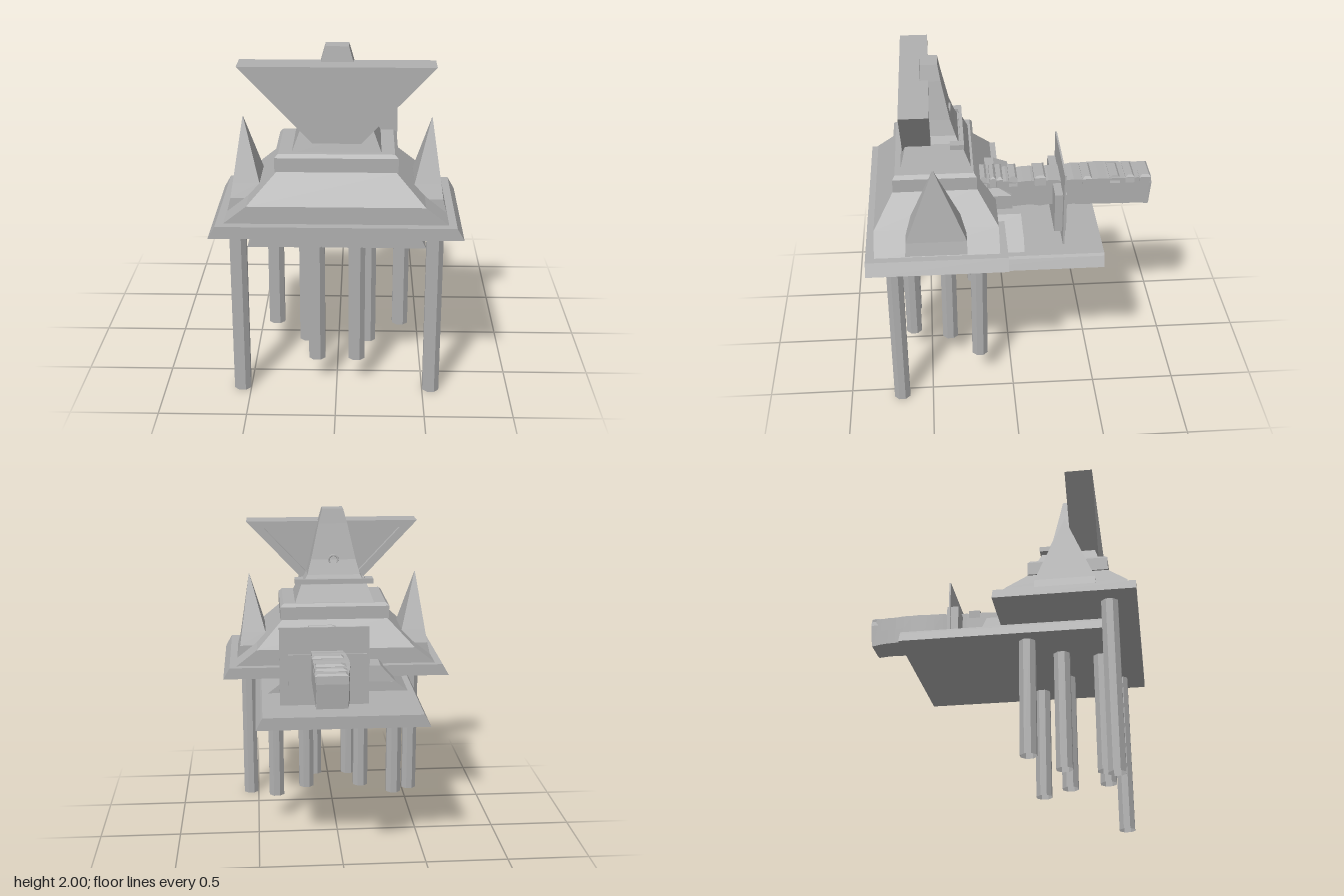
import * as THREE from 'three';

const gray = new THREE.MeshStandardMaterial({ color: 0xb0b0b0 });
gray.name = 'stone gray';
gray.flatShading = true;
gray.side = THREE.DoubleSide;

// Stacked rectangles [y, x0, x1, z0, z1] joined into a closed solid
function stack(rings) {
  const pos = [], idx = [], top = (rings.length - 1) * 4;
  for (const [y, x0, x1, z0, z1] of rings) pos.push(x0, y, z1, x1, y, z1, x1, y, z0, x0, y, z0);
  for (let r = 0; r < top; r += 4) {
    for (let i = 0; i < 4; i++) {
      const a = r + i, b = r + (i + 1) % 4;
      idx.push(a, b, b + 4, a, b + 4, a + 4);
    }
  }
  idx.push(0, 2, 1, 0, 3, 2, top, top + 1, top + 2, top, top + 2, top + 3);
  const g = new THREE.BufferGeometry();
  g.setAttribute('position', new THREE.Float32BufferAttribute(pos, 3));
  g.setIndex(idx);
  const flat = g.toNonIndexed();
  flat.computeVertexNormals();
  return flat;
}

export function createModel() {
  const model = new THREE.Group();
  model.name = 'watchtower';
  const add = (name, geometry, x = 0, y = 0, z = 0) => {
    const m = new THREE.Mesh(geometry, gray);
    m.name = name;
    m.position.set(x, y, z);
    model.add(m);
    return m;
  };
  // Box given by its limits
  const box = (name, x0, x1, y0, y1, z0, z1) => add(name,
    new THREE.BoxGeometry(x1 - x0, y1 - y0, z1 - z0), (x0 + x1) / 2, (y0 + y1) / 2, (z0 + z1) / 2);
  // Symmetric stack: rings are [y, half width, z0, z1]
  const tier = (name, rings) => add(name, stack(rings.map(([y, w, a, b]) => [y, -w, w, a, b])));

  // Main deck and sloped roof
  tier('mainDeck', [[1.01, 0.70, 0.04, 0.845], [1.08, 0.66, 0.04, 0.845]]);
  tier('mainRoof', [[1.07, 0.63, 0.085, 0.795], [1.18, 0.49, 0.085, 0.795], [1.34, 0.33, 0.20, 0.68]]);
  tier('roofSlab', [[1.34, 0.34, 0.20, 0.68], [1.42, 0.34, 0.20, 0.68], [1.44, 0.32, 0.215, 0.665]]);
  tier('pedestal', [[1.43, 0.25, 0.225, 0.635], [1.56, 0.20, 0.28, 0.60]]);

  // Central tower with a round socket at the back
  tier('tower', [[1.54, 0.20, 0.285, 0.53], [1.6, 0.165, 0.31, 0.53], [1.69, 0.14, 0.34, 0.52],
    [1.91, 0.09, 0.385, 0.505], [2.0, 0.065, 0.40, 0.495]]);
  add('socketRing', new THREE.TorusGeometry(0.028, 0.006, 6, 14), 0, 1.69, 0.338);

  // Bracket behind the tower
  box('bracketBar', -0.245, 0.245, 1.55, 1.58, 0.265, 0.285);
  for (const s of [-1, 1]) {
    const c = s * 0.22;
    box('bracketEnd', c - 0.025, c + 0.025, 1.55, 1.58, 0.28, 0.345);
  }
  tier('bracketBase', [[1.44, 0.10, 0.25, 0.30], [1.55, 0.21, 0.275, 0.32]]);

  // Flared front panel with a rim at its back
  const flare = (w1, y1, w0, y0, path) => {
    path.moveTo(-w0, y0);
    path.lineTo(w0, y0);
    path.lineTo(w1, y1);
    path.lineTo(-w1, y1);
    path.closePath();
    return path;
  };
  const outline = () => flare(0.54, 1.915, 0.10, 1.45, new THREE.Shape());
  add('flarePanel', new THREE.ExtrudeGeometry(outline(), { depth: 0.13, bevelEnabled: false }), 0, 0, 0.49);
  const rim = outline();
  rim.holes.push(flare(0.43, 1.87, 0.09, 1.51, new THREE.Path()));
  add('flareRim', new THREE.ExtrudeGeometry(rim, { depth: 0.035, bevelEnabled: false }), 0, 0, 0.455);

  // Corner spikes
  for (const s of [-1, 1]) {
    const r = (y, a, b, z0, z1) => [y, Math.min(s * a, s * b), Math.max(s * a, s * b), z0, z1];
    add('spike', stack([r(1.08, 0.42, 0.615, 0.27, 0.62), r(1.16, 0.42, 0.595, 0.27, 0.615),
      r(1.24, 0.434, 0.583, 0.302, 0.583), r(1.585, 0.528, 0.532, 0.445, 0.45)]));
  }

  // Lower deck and the mound rising from it
  tier('lowerDeck', [[0.875, 0.505, -0.535, 0.645], [0.935, 0.475, -0.535, 0.645], [0.95, 0.465, -0.535, 0.645]]);
  tier('mound', [[0.94, 0.44, -0.07, 0.64], [1.01, 0.35, -0.07, 0.64]]);
  tier('moundUpper', [[1.0, 0.36, -0.07, 0.3], [1.11, 0.26, -0.06, 0.3]]);
  tier('gunHousing', [[1.1, 0.20, -0.015, 0.3], [1.2, 0.20, -0.01, 0.3], [1.25, 0.17, 0.08, 0.3]]);

  // Long rough barrel, slightly bulged on one side and narrowing at the tip
  const barrel = new THREE.BoxGeometry(0.175, 0.17, 1.0, 1, 2, 20);
  const p = barrel.attributes.position;
  for (let i = 0; i < p.count; i++) {
    const z = p.getZ(i) - 0.33;
    const wave = 0.004 * Math.sin(z * 47) + 0.003 * Math.sin(z * 83);
    let x = p.getX(i) + 0.0875, y = p.getY(i) + 1.195;
    if (x < 0.01 && z < -0.25) x -= 0.03 * Math.sin(Math.PI * Math.min(1, (-z - 0.25) / 0.58));
    if (y < 1.15) y += 0.02 * (z + 0.83) - 0.01 + wave;
    else if (y > 1.25) y += wave;
    p.setXYZ(i, x, y, z);
  }
  barrel.computeVertexNormals();
  add('barrel', barrel);

  // Ribs across the barrel: [centre z, depth, top y]
  const ribs = [[-0.805, 0.07, 1.295], [-0.715, 0.055, 1.295], [-0.625, 0.06, 1.295], [-0.46, 0.06, 1.295],
    [-0.18, 0.07, 1.31], [-0.02, 0.05, 1.31], [0.06, 0.04, 1.31], [0.10, 0.035, 1.315], [0.155, 0.04, 1.315]];
  ribs.forEach(([z, d, y], i) => {
    const h = d / 2, k = 0.006 * (i % 3);
    add('barrelRib', stack([[1.25, 0, 0.18, z - h, z + h], [y - 0.012, -0.004, 0.18 - k, z - h, z + h],
      [y, 0.012 + k, 0.165, z - h + 0.012, z + h - 0.016]]));
  });
  add('barrelTip', stack([[1.10, 0.0, 0.17, -0.835, -0.8], [1.24, -0.005, 0.175, -0.845, -0.8], [1.285, 0, 0.17, -0.84, -0.8]]));

  // Shield plate and its block around the barrel
  box('shieldPlate', -0.165, 0.36, 0.945, 1.42, -0.312, -0.302);
  box('shieldBlock', -0.15, 0.31, 1.01, 1.26, -0.325, -0.255);

  // Hollow eight-sided stilts: [x, z, bottom, top]
  for (const [x, z, y0, y1] of [[0.55, 0.69, 0, 1.02], [0.38, 0.20, 0.18, 0.88],
    [0.115, 0.61, 0.16, 0.88], [0.18, 0.38, 0.16, 0.88]]) {
    for (const s of [-1, 1]) {
      const tube = new THREE.CylinderGeometry(0.051, 0.051, y1 - y0, 8, 1, true);
      tube.rotateY(Math.PI / 8);
      add('stilt', tube, s * x, (y0 + y1) / 2, z);
    }
  }
  return model;
}
